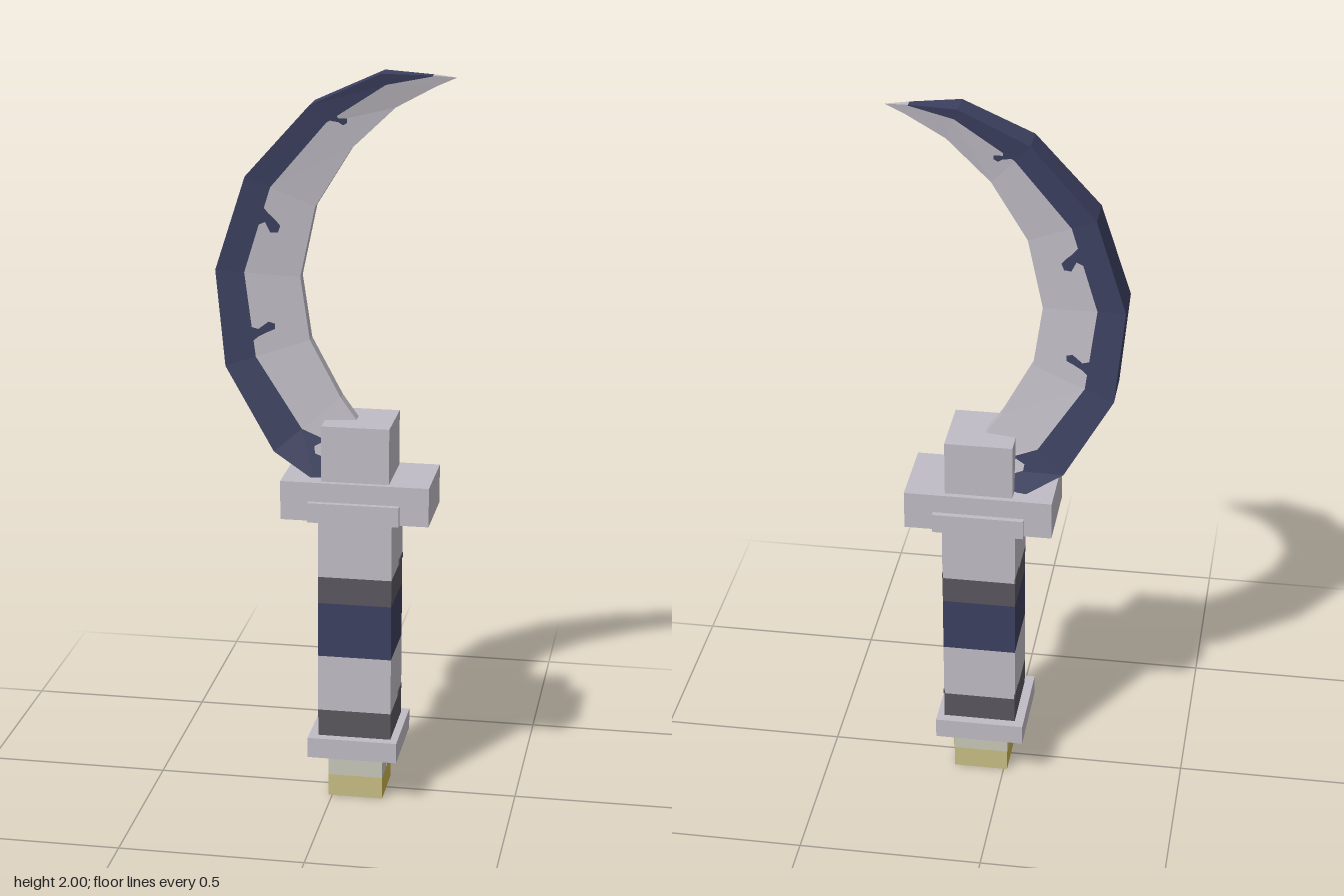
import * as THREE from 'three';

const mat = (name, color) => {
  const m = new THREE.MeshStandardMaterial({ color });
  m.name = name;
  return m;
};

export function createModel() {
  const steel = mat('pale steel', 0xc0bcc5);
  const navy = mat('navy', 0x3c4060);
  const dark = mat('dark grey', 0x5a565e);
  const gold = mat('gold', 0xc9b24b);
  const paleGold = mat('pale gold', 0xc8be84);
  const ivory = mat('ivory grey', 0xc8c8b9);
  steel.side = navy.side = THREE.DoubleSide;

  const model = new THREE.Group();
  model.name = 'sickle';
  const add = (name, geometry, material, parent = model) => {
    const mesh = new THREE.Mesh(geometry, material);
    mesh.name = name;
    parent.add(mesh);
    return mesh;
  };
  // Box from its limits in x and y, with half depth in z
  const box = (name, x0, x1, y0, y1, hz, material) => {
    const g = new THREE.BoxGeometry(x1 - x0, y1 - y0, hz * 2);
    g.translate((x0 + x1) / 2, (y0 + y1) / 2, 0);
    return add(name, g, material);
  };

  // Pommel: face order is +x, -x, +y, -y, +z, -z
  box('pommelTip', -0.01, 0.14, 0, 0.062, 0.078, [gold, gold, gold, gold, paleGold, paleGold]);
  box('pommelNeck', -0.01, 0.14, 0.062, 0.13, 0.078, ivory);
  for (const x of [-0.01, 0.14]) {
    const g = new THREE.BoxGeometry(0.004, 0.066, 0.078);
    g.translate(x, 0.096, -0.039);
    add('pommelNeckPatch', g, paleGold);
  }
  box('pommelCollar', -0.06, 0.185, 0.13, 0.187, 0.124, steel);

  // Grip in coloured bands
  [
    [0.187, 0.262, dark], [0.262, 0.42, steel], [0.42, 0.573, navy],
    [0.573, 0.648, dark], [0.648, 0.81, steel],
  ].forEach(([y0, y1, m]) => box('gripBand', -0.035, 0.165, y0, y1, 0.098, m));
  // Raised rear edge of the dark wraps on the sides
  for (const y of [0.262, 0.648]) for (const x of [-0.035, 0.165]) {
    const g = new THREE.BoxGeometry(0.003, 0.015, 0.065);
    g.translate(x, y + 0.0075, -0.066);
    add('wrapEdge', g, dark);
  }

  // Guard
  box('guard', -0.135, 0.265, 0.81, 0.917, 0.108, steel);
  box('guardPlate', -0.06, 0.187, 0.81, 0.864, 0.123, steel);
  box('bladeSocket', -0.027, 0.156, 0.917, 1.07, 0.093, steel);

  // Blade sections: spine x, y, edge x, y, spine half depth, edge half depth, paint fraction
  const sections = [
    [-0.05, 0.91, 0.12, 0.98, 0.066, 0.018, 0.8],
    [-0.16, 0.985, 0.013, 1.13, 0.065, 0.018, 0.42],
    [-0.29, 1.215, -0.07, 1.285, 0.062, 0.018, 0.36],
    [-0.315, 1.475, -0.095, 1.455, 0.058, 0.018, 0.34],
    [-0.235, 1.725, -0.055, 1.645, 0.051, 0.017, 0.36],
    [-0.065, 1.915, 0.04, 1.8, 0.042, 0.015, 0.4],
    [0.12, 2.0, 0.155, 1.91, 0.035, 0.01, 0.33],
    [0.25, 1.995, 0.258, 1.966, 0.011, 0.004, 0.08],
    [0.31, 1.99, 0.31, 1.989, 0.0005, 0.0005, 0.1],
  ];
  const lerp = THREE.MathUtils.lerp;
  // Point on a blade side: t runs from spine to cutting edge
  const onSection = (c, t, side) =>
    [lerp(c[0], c[2], t), lerp(c[1], c[3], t), side * lerp(c[4], c[5], t)];
  const ring = (c) => [
    onSection(c, 0, -1), onSection(c, 0, 1), onSection(c, c[6], 1),
    onSection(c, 1, 1), onSection(c, 1, -1), onSection(c, c[6], -1),
  ];
  const painted = [];
  const bare = [];
  for (let i = 0; i < sections.length - 1; i++) {
    const a = ring(sections[i]);
    const b = ring(sections[i + 1]);
    for (let k = 0; k < 6; k++) {
      const n = (k + 1) % 6;
      const isPaint = [0, 1, 5].includes(k) && i < sections.length - 2;
      (isPaint ? painted : bare).push(...a[k], ...a[n], ...b[n], ...a[k], ...b[n], ...b[k]);
    }
  }
  const facets = (points) => {
    const g = new THREE.BufferGeometry();
    g.setAttribute('position', new THREE.Float32BufferAttribute(points, 3));
    g.computeVertexNormals();
    return g;
  };
  const blade = new THREE.Group();
  blade.name = 'blade';
  model.add(blade);
  add('bladeSpine', facets(painted), navy, blade);
  add('bladeEdge', facets(bare), steel, blade);

  // Painted marks laid on both blade sides, outlined in (section, t) coordinates
  const mark = (name, outline, material) => {
    for (const side of [1, -1]) {
      const g = new THREE.ShapeGeometry(new THREE.Shape(outline.map((p) => new THREE.Vector2(...p))));
      const pos = g.attributes.position;
      for (let i = 0; i < pos.count; i++) {
        const s = pos.getX(i);
        const j = Math.floor(s);
        const c = sections[j].map((v, q) => lerp(v, sections[j + 1][q], s - j));
        const [x, y, z] = onSection(c, pos.getY(i), side);
        pos.setXYZ(i, x, y, z + side * 0.003);
      }
      if (side < 0) g.index.array.reverse();
      // Section direction runs clockwise, so flip the faces outward
      g.index.array.reverse();
      g.computeVertexNormals();
      add(name, g, material, blade);
    }
  };
  // Drips: section position, tip fraction, lean and size along the blade
  [[2.27, 0.63, 0.05, 1], [3.66, 0.62, -0.08, 1.2], [5.12, 0.6, 0.08, 1]].forEach(([s, tip, lean, k]) => {
    mark('paintDrip', [
      [s - 0.1 * k, 0.31], [s - 0.04 * k, 0.42], [s + lean - 0.06 * k, tip - 0.1],
      [s + lean - 0.04 * k, tip - 0.01], [s + lean + 0.03 * k, tip], [s + lean + 0.07 * k, tip - 0.07],
      [s + 0.05 * k, 0.43], [s + 0.11 * k, 0.31],
    ], navy);
  });
  // Bare spot in the paint near the socket
  mark('bareSpot', [[0.36, 0.36], [0.5, 0.32], [0.62, 0.38], [0.6, 0.5], [0.48, 0.52], [0.36, 0.46]], steel);

  return model;
}
